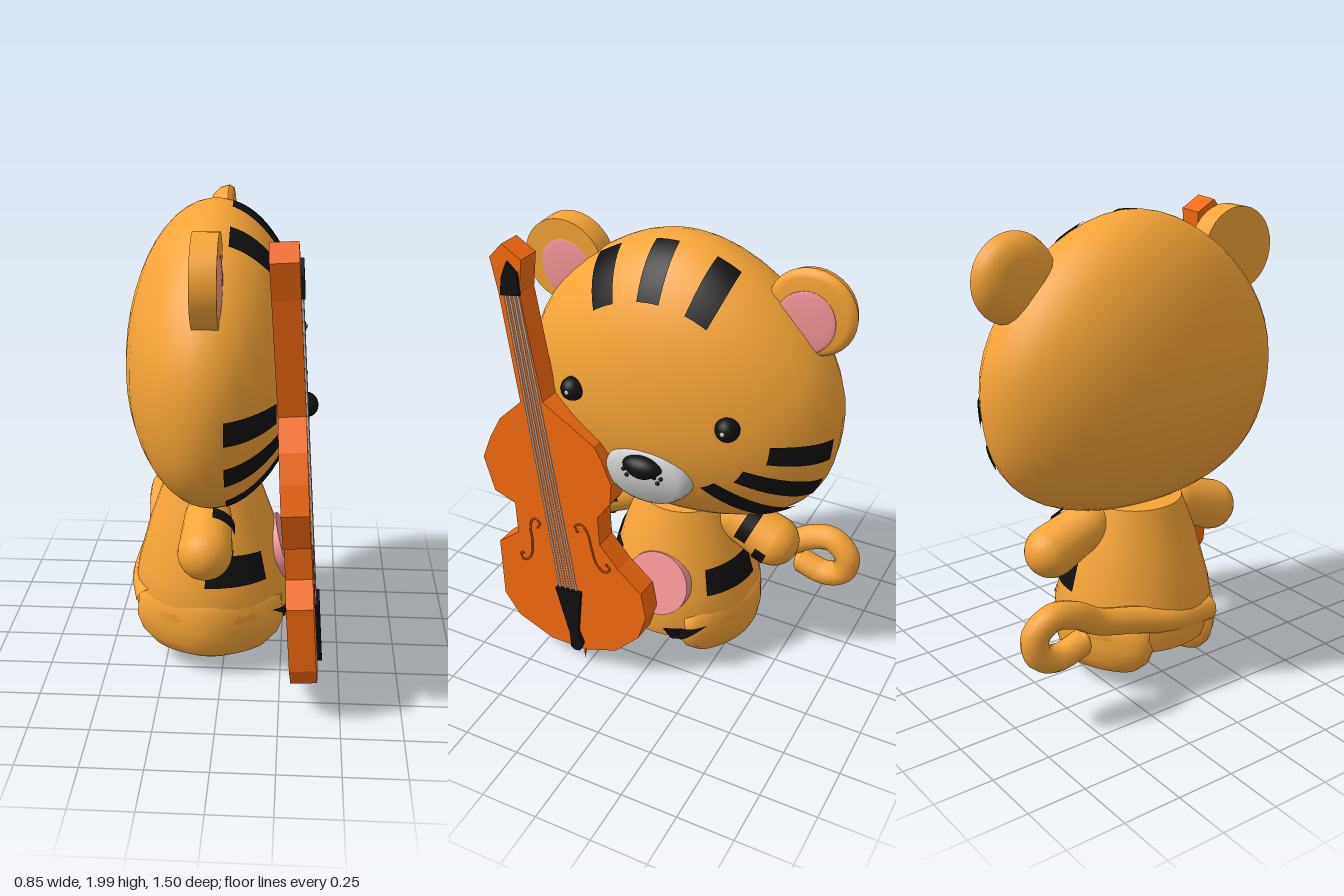
import * as THREE from 'three';
import { mergeVertices, toCreasedNormals } from 'three/addons/utils/BufferGeometryUtils.js';
import { ParametricGeometry } from 'three/addons/geometries/ParametricGeometry.js';

const mat = (color, side = THREE.FrontSide) => new THREE.MeshStandardMaterial({ color, side });
const FUR = mat(0xf7a437), BLACK = mat(0x101010), PINK = mat(0xf7969a), GREY = mat(0xcccccc);
const WOOD = mat(0xf56a10), CARVING = mat(0xa8450c), STRIPE = mat(0x101010, THREE.DoubleSide);
const V = (x, y, z) => new THREE.Vector3(x, y, z);
const lerp = THREE.MathUtils.lerp;

function add(parent, name, geometry, material, x = 0, y = 0, z = 0) {
  const mesh = new THREE.Mesh(geometry, material);
  mesh.name = name;
  mesh.position.set(x, y, z);
  parent.add(mesh);
  return mesh;
}

const ellipsoid = (rx, ry, rz, n = 24) => new THREE.SphereGeometry(1, n, Math.round(n * 0.7)).scale(rx, ry, rz);
const lathe = pts => new THREE.LatheGeometry(pts.map(q => new THREE.Vector2(...q)), 32);
const tube = (pts, r, n = 40, sides = 12) =>
  new THREE.TubeGeometry(new THREE.CatmullRomCurve3(pts), n, r, sides);

// Moves every vertex by a rule, then gives seamless smooth normals
function reshape(geo, rule) {
  const p = geo.attributes.position, v = V(0, 0, 0);
  for (let i = 0; i < p.count; i++) {
    rule(v.fromBufferAttribute(p, i));
    p.setXYZ(i, v.x, v.y, v.z);
  }
  geo.deleteAttribute('uv');
  geo.deleteAttribute('normal');
  const merged = mergeVertices(geo, 1e-4);
  merged.computeVertexNormals();
  return merged;
}

// Takes a point on the unit sphere to the head: narrower crown, fuller cheeks
function toHead(v) {
  const up = v.y > 0, wide = up ? 1 - 0.18 * v.y ** 2 : 1 + 0.28 * v.y ** 2;
  return v.set(-0.04 + 0.37 * v.x, 1.33 + v.y * (up ? 0.67 : 0.57), 0.69 * wide * v.z);
}

// Body radius by height
const BODY = [[0.8, 0.205], [0.62, 0.27], [0.42, 0.325], [0.27, 0.35], [0.21, 0.335]];
function bodyRadius(y) {
  for (let i = 1; i < BODY.length; i++) {
    const [y0, r0] = BODY[i - 1], [y1, r1] = BODY[i];
    if (y >= y1) return lerp(r1, r0, (y - y1) / (y0 - y1));
  }
  return 0.335;
}

function buildHead(g) {
  add(g, 'head', reshape(new THREE.SphereGeometry(1, 36, 26), toHead), FUR);

  // Forehead and cheek stripes: angle around the face, and how far in they start
  const stripes = [[-0.39, 0.79], [0.065, 0.79], [0.51, 0.79]];
  for (const s of [1, -1]) stripes.push([s * 1.72, 0.79], [s * 2.08, 0.66], [s * 2.45, 0.58]);
  for (const [angle, start] of stripes) {
    add(g, 'headStripe', new ParametricGeometry((s, t, v) => {
      const u = lerp(start, 1.38, s), a = angle + (t - 0.5) * lerp(0.21, 0.175, s);
      toHead(v.set(Math.cos(u), Math.sin(u) * Math.cos(a), Math.sin(u) * Math.sin(a)).multiplyScalar(1.01));
    }, 8, 4), STRIPE);
  }

  for (const s of [1, -1]) {
    add(g, 'eye', ellipsoid(0.05, 0.05, 0.05, 18), BLACK, 0.285, 1.385, s * 0.342);
    add(g, 'eyeGlint', ellipsoid(0.008, 0.01, 0.01, 8), GREY, 0.333, 1.39, s * 0.342);
    // Freckles beside the nose
    for (const [y, z] of [[1.11, 0.085], [1.085, 0.07], [1.108, 0.055]])
      add(g, 'freckle', ellipsoid(0.008, 0.009, 0.009, 8), BLACK, 0.345, y, s * z);
  }

  // Ears: one is a plain disc, the other has a rounded back
  const profiles = {
    1: [[0, -0.09], [0.18, -0.09], [0.18, 0.01], [0, 0.01]],
    '-1': [[0, -0.105], [0.09, -0.105], [0.14, -0.09], [0.17, -0.06], [0.182, -0.02], [0.17, 0], [0.15, 0.005], [0, 0.005]],
  };
  for (const s of [1, -1]) {
    const ear = lathe(profiles[s]).rotateZ(-Math.PI / 2);
    const z = s > 0 ? 0.525 : -0.542;
    add(g, 'ear', toCreasedNormals(ear, 0.8), FUR, 0, 1.79, z);
    const inner = add(g, 'innerEar', ellipsoid(0.01, 0.135, 0.12), PINK, 0.008, 1.755, z * 0.97);
    inner.rotation.x = s * 0.4;
  }

  // Muzzle and a nose that narrows downwards
  const muzzle = lathe([[0, 0], [1, 0], [1, 0.075], [0.97, 0.1], [0.91, 0.125], [0.8, 0.138], [0, 0.145]])
    .rotateZ(-Math.PI / 2).scale(1, 0.13, 0.195);
  add(g, 'muzzle', toCreasedNormals(muzzle, 0.8), GREY, 0.2, 1.08, 0);
  const nose = reshape(ellipsoid(0.05, 0.05, 0.088), v => { v.z *= 1 + 7 * Math.min(0, v.y); });
  add(g, 'nose', nose, BLACK, 0.34, 1.14, 0);
}

function buildBody(g) {
  const profile = [[0, 0.19], ...BODY.map(([y, r]) => [r, y]).reverse(), [0, 0.81]];
  add(g, 'body', toCreasedNormals(lathe(profile), 0.8), FUR, -0.06);
  const belly = add(g, 'belly', new THREE.CylinderGeometry(0.145, 0.145, 0.05, 32).rotateZ(-Math.PI / 2), PINK, 0.235, 0.475, -0.015);
  belly.rotation.z = 0.29;

  // Legs are half-round stubs that stay within the body's outline
  const LEG = { x: -0.06, z: 0.205, rx: 0.3, rz: 0.153 };
  const legProfile = [[0, 0.07], [0.5, 0.078], [0.78, 0.105], [0.93, 0.155], [1, 0.22], [0.97, 0.32], [0.7, 0.38], [0, 0.39]];
  const legGeo = reshape(lathe(legProfile), v => v.set(v.x * LEG.rx * (1 - 0.4 * v.z), v.y, v.z * LEG.rz));
  for (const s of [1, -1]) {
    const side = new THREE.Group();
    side.name = 'armAndLeg';
    side.scale.z = s;
    g.add(side);
    add(side, 'leg', legGeo, FUR, LEG.x, 0, LEG.z);

    // Flank stripe following the body
    add(side, 'flankStripe', new ParametricGeometry((u, v, t) => {
      const a = lerp(0.74, 1.6, u), y = lerp(0.43, lerp(0.55, 0.565, u), v);
      const r = bodyRadius(y) + 0.008;
      t.set(-0.06 + r * Math.cos(a), y, r * Math.sin(a));
    }, 8, 6), STRIPE);

    // Thigh stripe, a wedge lying on body and leg
    add(side, 'thighStripe', new ParametricGeometry((u, v, t) => {
      const y = lerp(0.18, lerp(0.27, 0.29, u), v), z = lerp(0.1, lerp(0.06, 0.24, u), v);
      const bx = y > 0.2 ? Math.sqrt(bodyRadius(y) ** 2 - z * z) : 0;
      const n = (z - LEG.z) / LEG.rz;
      const lx = LEG.rx * Math.sqrt(Math.max(0, 1 - n * n)) * (1 - 0.4 * n);
      t.set(-0.06 + Math.max(bx, lx) + 0.008, y, z);
    }, 8, 8), STRIPE);

    // Arm with two partial-ring stripes
    const arm = new THREE.Group();
    arm.name = 'arm';
    arm.position.set(-0.06, 0.68, 0.33);
    arm.quaternion.setFromUnitVectors(V(0, 1, 0), V(0, -0.38, 0.92).normalize());
    side.add(arm);
    const limb = reshape(new THREE.CapsuleGeometry(0.112, 0.2, 8, 24), v => {
      const k = lerp(0.8, 1, THREE.MathUtils.clamp((v.y + 0.2) / 0.25, 0, 1));
      v.set(v.x * k, v.y, v.z * k);
    });
    add(arm, 'armLimb', limb, FUR);
    for (const [y, start] of [[-0.02, 1.5], [0.085, 0.2]])
      add(arm, 'armStripe', new THREE.CylinderGeometry(0.115, 0.115, 0.055, 10, 1, true, start, 1.4), STRIPE, 0, y, 0);
  }

  // Tail wraps the back and curls at the end
  const tail = [V(-0.32, 0.3, 0.2), V(-0.36, 0.33, 0), V(-0.34, 0.38, -0.22), V(-0.33, 0.42, -0.38), V(-0.34, 0.49, -0.5),
    V(-0.34, 0.51, -0.6), V(-0.33, 0.45, -0.675), V(-0.33, 0.36, -0.665), V(-0.33, 0.32, -0.58), V(-0.33, 0.35, -0.46)];
  add(g, 'tail', tube(tail, 0.057, 64), FUR);
  add(g, 'tailTip', ellipsoid(0.057, 0.057, 0.03, 14), FUR, ...tail.at(-1).toArray());
}

// Instrument: local x runs along -z, local z is its thickness
function buildInstrument(root) {
  const lean = new THREE.Group();
  lean.name = 'instrument';
  lean.position.x = 0.415;
  lean.rotation.z = 0.06;
  root.add(lean);
  const g = new THREE.Group();
  g.name = 'instrumentParts';
  g.rotation.y = Math.PI / 2;
  lean.add(g);
  const plate = (pts, depth) => new THREE.ExtrudeGeometry(
    new THREE.Shape(pts.map(([z, y]) => new THREE.Vector2(-z, y))), { depth, bevelEnabled: false });

  const outline = [[0.55, 1.29], [0.655, 1.185], [0.71, 1.08], [0.75, 0.97], [0.7, 0.815], [0.6, 0.78], [0.59, 0.63],
    [0.69, 0.55], [0.676, 0.27], [0.6, 0.17], [0.43, 0.1], [0.257, 0.1], [0.1, 0.155], [-0.01, 0.27], [-0.045, 0.39],
    [-0.02, 0.51], [0.09, 0.6], [0.18, 0.7], [0.19, 0.835], [0.13, 0.92], [0.125, 1.015], [0.17, 1.12], [0.205, 1.175],
    [0.443, 1.317], [0.533, 1.77], [0.52, 1.915], [0.607, 1.965], [0.665, 1.9], [0.63, 1.757]];
  add(g, 'soundBodyAndNeck', plate(outline, 0.108), WOOD, 0, 0, -0.108);
  add(g, 'tailpiece', plate([[0.395, 0.41], [0.325, 0.18], [0.32, 0.11], [0.3, 0.095], [0.275, 0.1], [0.26, 0.14],
    [0.285, 0.2], [0.27, 0.42]], 0.02), BLACK);
  add(g, 'pegPlate', plate([[0.58, 1.9], [0.605, 1.84], [0.615, 1.755], [0.525, 1.77], [0.535, 1.86]], 0.014), BLACK);
  const pin = add(g, 'endPin', new THREE.ConeGeometry(0.012, 0.11, 8), WOOD, -0.273, 0.07, -0.03);
  pin.rotation.z = Math.PI - 0.1;

  for (let i = 0; i < 4; i++) {
    const k = i / 3;
    const a = V(-lerp(0.378, 0.295, k), 0.4, 0.003), b = V(-lerp(0.6, 0.54, k), 1.77, 0.003);
    add(g, 'string', new THREE.TubeGeometry(new THREE.LineCurve3(a, b), 1, 0.005, 6), GREY);
  }
  // Curled sound holes
  for (const pts of [
    [[0.49, 0.685], [0.475, 0.715], [0.505, 0.73], [0.525, 0.69], [0.517, 0.6], [0.53, 0.52], [0.565, 0.495], [0.58, 0.52], [0.56, 0.535]],
    [[0.285, 0.73], [0.3, 0.755], [0.27, 0.775], [0.24, 0.745], [0.22, 0.67], [0.195, 0.595], [0.155, 0.565], [0.13, 0.59], [0.15, 0.61]],
  ]) add(g, 'soundHole', tube(pts.map(([z, y]) => V(-z, y, 0)), 0.005, 36, 6), CARVING);
}

export function createModel() {
  const model = new THREE.Group();
  model.name = 'tigerWithInstrument';
  const tiger = new THREE.Group();
  tiger.name = 'tiger';
  tiger.position.z = -0.015;
  model.add(tiger);
  buildHead(tiger);
  buildBody(tiger);
  buildInstrument(model);
  return model;
}
